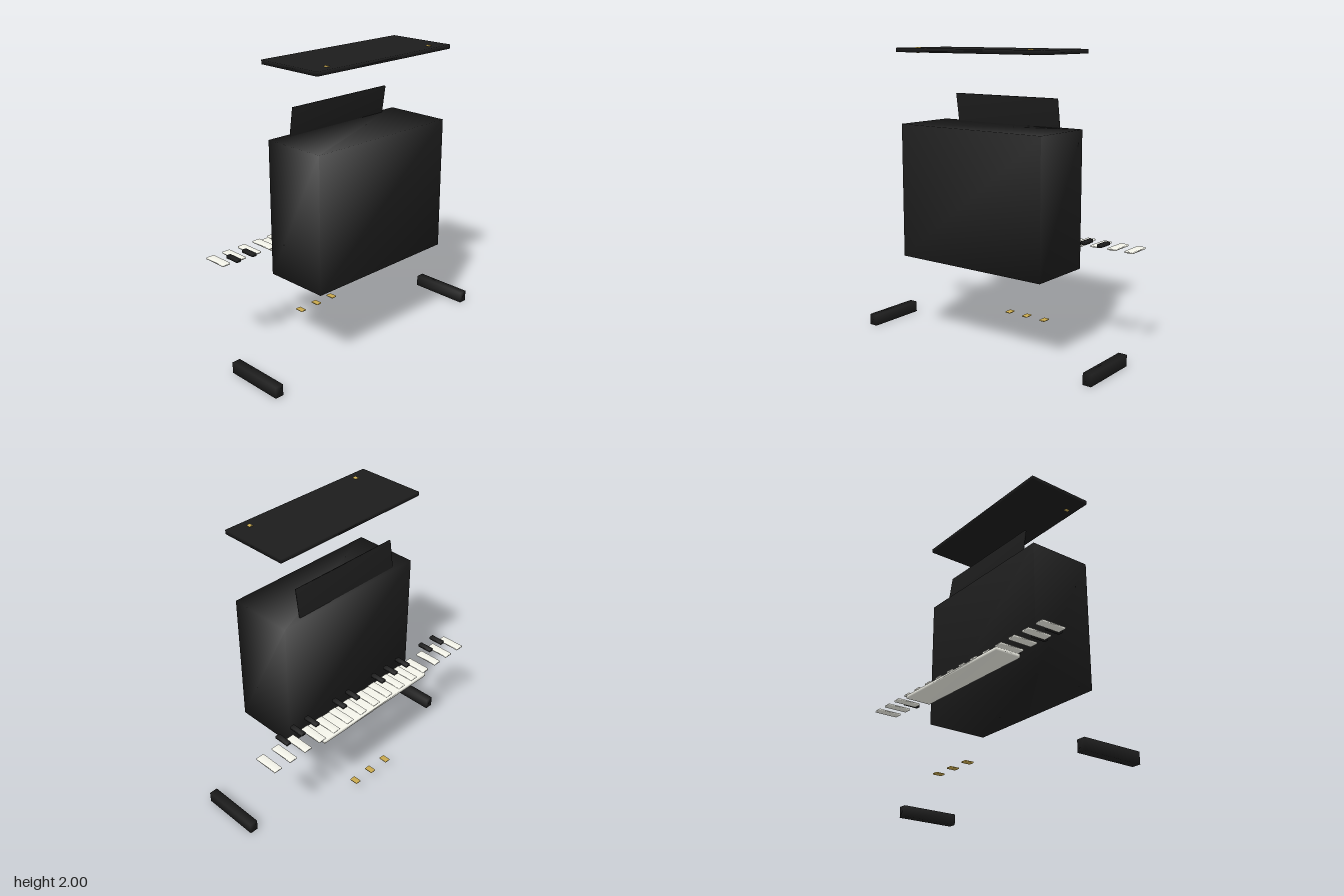
import * as THREE from 'three';
import { mergeVertices } from 'three/addons/utils/BufferGeometryUtils.js';

const black = new THREE.MeshStandardMaterial({ color: 0x1c1c1c });
const ivory = new THREE.MeshStandardMaterial({ color: 0xf4f4ea });
const brass = new THREE.MeshStandardMaterial({ color: 0xc9a94e });

// Box with shared corners, so its normals blend softly across the edges
function softBox(w, h, d) {
  const box = new THREE.BoxGeometry(w, h, d);
  box.deleteAttribute('normal');
  box.deleteAttribute('uv');
  const geometry = mergeVertices(box);
  geometry.computeVertexNormals();
  return geometry;
}

export function createModel() {
  const model = new THREE.Group();
  model.name = 'explodedPiano';

  const add = (name, geometry, material, x, y, z, parent = model) => {
    const mesh = new THREE.Mesh(geometry, material);
    mesh.name = name;
    mesh.position.set(x, y, z);
    parent.add(mesh);
    return mesh;
  };

  // Case and floating lid
  add('body', softBox(1.14, 0.912, 0.456), black, 0, 1.034, 0.115);
  add('lid', softBox(1.187, 0.028, 0.488), black, 0, 1.979, 0.115);

  // Music desk, leaning forward from the top of the case
  const desk = add('musicDesk', softBox(0.84, 0.193, 0.012), black, 0, 1.585, -0.065);
  desk.rotation.x = 0.15;

  // Lid hinges and feet, mirrored left and right
  const hinge = new THREE.CylinderGeometry(0.019, 0.019, 0.028, 12).rotateX(Math.PI / 2);
  const foot = softBox(0.06, 0.077, 0.426);
  for (const [side, s] of [['left', 1], ['right', -1]]) {
    add(side + 'Hinge', hinge, brass, s * 0.456, 1.98, 0.295);
    add(side + 'Foot', foot, black, s * 0.913, 0.0385, 0.115);
  }

  // Keyboard: bed, 15 white keys, and black keys in groups of two and three
  const keyboard = new THREE.Group();
  keyboard.name = 'keyboard';
  model.add(keyboard);
  add('keyBed', softBox(0.99, 0.023, 0.185), ivory, 0, 0.699, -0.268, keyboard);
  const pitch = 0.1267;
  const whiteKey = softBox(0.057, 0.012, 0.17);
  const blackKey = softBox(0.032, 0.02, 0.106);
  for (let i = 0; i < 15; i++) {
    const x = (i - 7) * pitch;
    add('whiteKey', whiteKey, ivory, x, 0.721, -0.269, keyboard);
    if ([0, 1, 3, 4, 5].includes(i % 7) && i < 14) {
      add('blackKey', blackKey, black, x + pitch / 2, 0.743, -0.191, keyboard);
    }
  }

  // Three pedals
  const pedal = softBox(0.04, 0.008, 0.06);
  for (const i of [-1, 0, 1]) add('pedal', pedal, brass, i * 0.152, 0.088, -0.312);

  return model;
}
